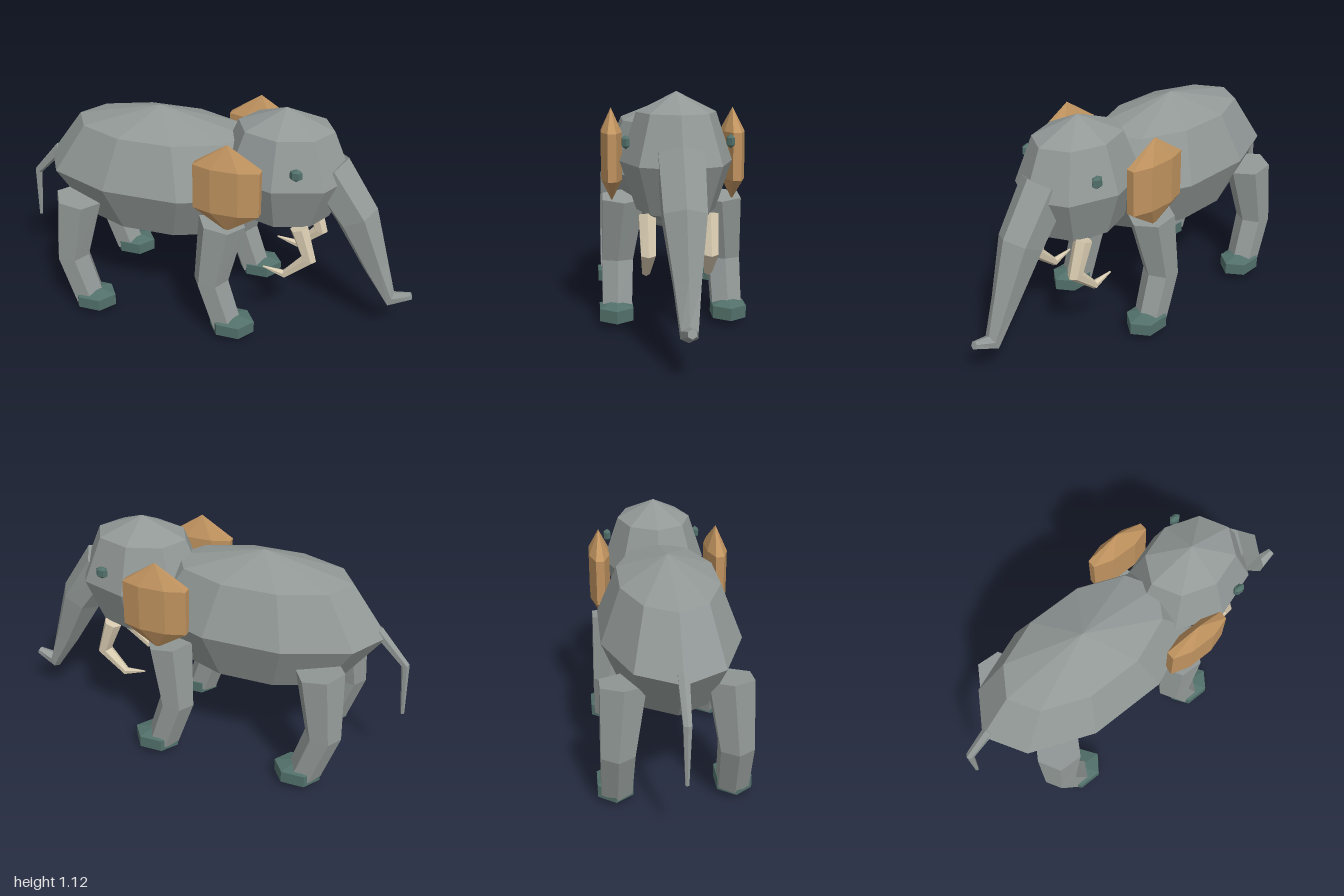
import * as THREE from 'three';

const material = (name, color) => {
  const m = new THREE.MeshStandardMaterial({ color, flatShading: true });
  m.name = name;
  return m;
};

// Faceted ellipsoid with its poles on the y axis
function blob(name, mat, [x, y, z], [rx, ry, rz], sides, rows, turn = 0) {
  const g = new THREE.SphereGeometry(1, sides, rows).rotateY(turn).scale(rx, ry, rz);
  const mesh = new THREE.Mesh(g, mat);
  mesh.name = name;
  mesh.position.set(x, y, z);
  return mesh;
}

// Tapered, capped limb through stations of [x, y, z, radius]
function limb(name, mat, stations, sides = 6) {
  const points = stations.map(([x, y, z]) => new THREE.Vector3(x, y, z));
  const rings = points.map((p, i) => {
    const dir = (a, b) => b.clone().sub(a).setZ(0).normalize();
    const t = new THREE.Vector3();
    if (i > 0) t.add(dir(points[i - 1], p));
    if (i < points.length - 1) t.add(dir(p, points[i + 1]));
    t.normalize();
    const r = stations[i][3];
    return Array.from({ length: sides }, (_, j) => {
      const a = (j / sides) * Math.PI * 2;
      const n = Math.cos(a) * r;
      return new THREE.Vector3(p.x - t.y * n, p.y + t.x * n, p.z + Math.sin(a) * r);
    });
  });
  const out = [];
  const tri = (...vs) => vs.forEach((v) => out.push(v.x, v.y, v.z));
  const last = rings.length - 1;
  for (let j = 0; j < sides; j++) {
    const k = (j + 1) % sides;
    for (let i = 0; i < last; i++) {
      tri(rings[i][j], rings[i][k], rings[i + 1][k]);
      tri(rings[i][j], rings[i + 1][k], rings[i + 1][j]);
    }
    tri(points[0], rings[0][k], rings[0][j]);
    tri(points[last], rings[last][j], rings[last][k]);
  }
  const g = new THREE.BufferGeometry();
  g.setAttribute('position', new THREE.Float32BufferAttribute(out, 3));
  g.computeVertexNormals();
  const mesh = new THREE.Mesh(g, mat);
  mesh.name = name;
  return mesh;
}

export function createModel() {
  const hide = material('grey hide', 0x929997);
  const tan = material('tan ear', 0xc0935f);
  const teal = material('dark teal', 0x52706a);
  const ivory = material('ivory', 0xd8cbb0);
  const model = new THREE.Group();
  model.name = 'elephant';

  // Body and head
  model.add(blob('body', hide, [-0.28, 0.713, 0], [0.597, 0.336, 0.327], 10, 4));
  model.add(blob('head', hide, [0.332, 0.81, 0], [0.32, 0.31, 0.254], 8, 4));

  // Trunk, curling forward at the tip
  model.add(limb('trunk', hide, [
    [0.535, 0.845, 0, 0.115], [0.69, 0.62, 0, 0.105], [0.8, 0.36, 0, 0.064],
    [0.888, 0.18, 0, 0.042], [0.985, 0.216, 0, 0.02],
  ]));

  // Tail
  model.add(limb('tail', hide, [
    [-0.83, 0.74, 0, 0.028], [-0.972, 0.585, 0, 0.02], [-0.988, 0.32, 0, 0.009],
  ]));

  for (const s of [1, -1]) {
    // Legs with feet, front pair offset from the hind pair
    for (const [kind, dx] of [['hind', 0], ['front', 0.73]]) {
      model.add(limb(kind + 'Leg', hide, [
        [-0.632 + dx, 0.61, 0.23 * s, 0.114],
        [-0.675 + dx, 0.295, 0.26 * s, 0.086],
        [-0.6 + dx, 0.06, 0.265 * s, 0.08],
      ]));
      model.add(blob(kind + 'Foot', teal, [-0.567 + dx, 0.06, 0.27 * s], [0.13, 0.06, 0.106], 6, 3));
    }

    // Ear, eye and tusk
    model.add(blob('ear', tan, [0.138, 0.816, 0.286 * s], [0.194, 0.22, 0.06], 8, 3, Math.PI / 8));
    model.add(blob('eye', teal, [0.437, 0.906, 0.23 * s], [0.033, 0.032, 0.022], 6, 3));
    model.add(limb('tusk', ivory, [
      [0.445, 0.585, 0.138 * s, 0.044], [0.5, 0.42, 0.138 * s, 0.037],
      [0.385, 0.312, 0.141 * s, 0.021], [0.28, 0.335, 0.142 * s, 0.004],
    ]));
  }
  return model;
}
